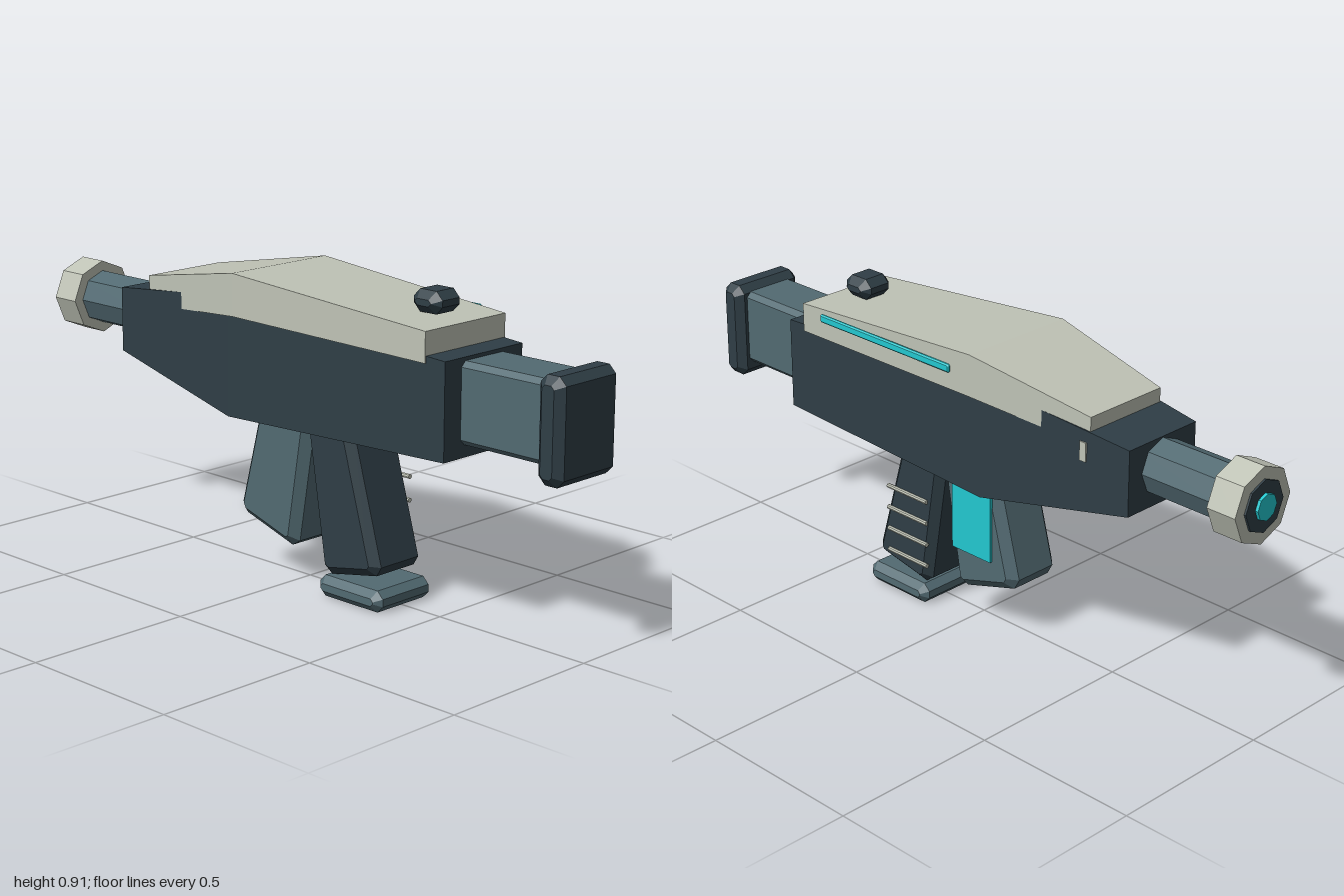
import * as THREE from 'three';

const material = (name, color) => {
  const m = new THREE.MeshStandardMaterial({ color });
  m.name = name;
  return m;
};

// Cut every corner of a [z, y] outline by distance b
function cutCorners(points, b) {
  const v = points.map(p => new THREE.Vector2(p[0], p[1]));
  const n = v.length;
  return v.flatMap((p, i) => [v[(i + n - 1) % n], v[(i + 1) % n]].map(q =>
    p.clone().add(q.clone().sub(p).setLength(b))));
}

// Chamfered prism: a [z, y] side outline given thickness 2 * half along x
function prism(points, half, b) {
  const depth = 2 * (half - b);
  const g = new THREE.ExtrudeGeometry(new THREE.Shape(cutCorners(points, b)), {
    depth, bevelEnabled: true, bevelSegments: 1,
    bevelSize: b, bevelThickness: b, bevelOffset: -b,
  });
  g.translate(0, 0, -depth / 2);
  g.rotateY(-Math.PI / 2);
  return g;
}

const block = (z0, z1, y0, y1, half, b) =>
  prism([[z0, y0], [z1, y0], [z1, y1], [z0, y1]], half, b);

// Flat-faced hull through rectangular sections [z, half width, bottom, top], z descending
function hull(sections) {
  const rings = sections.map(([z, h, y0, y1]) =>
    [[-h, y0, z], [h, y0, z], [h, y1, z], [-h, y1, z]]);
  const pos = [];
  const quad = (a, b, c, d) => pos.push(...a, ...b, ...c, ...a, ...c, ...d);
  quad(...rings[0]);
  for (let s = 0; s < rings.length - 1; s++) {
    for (let i = 0; i < 4; i++) {
      const j = (i + 1) % 4;
      quad(rings[s][i], rings[s + 1][i], rings[s + 1][j], rings[s][j]);
    }
  }
  quad(...[...rings[rings.length - 1]].reverse());
  const g = new THREE.BufferGeometry();
  g.setAttribute('position', new THREE.Float32BufferAttribute(pos, 3));
  g.computeVertexNormals();
  return g;
}

// Faceted cylinder along z
function rod(radius, z0, z1, y, x = 0) {
  const g = new THREE.CylinderGeometry(radius, radius, Math.abs(z1 - z0), 8).toNonIndexed();
  g.computeVertexNormals();
  g.rotateX(Math.PI / 2);
  g.translate(x, y, (z0 + z1) / 2);
  return g;
}

export function createModel() {
  const dark = material('dark slate', 0x2f3e46);
  const slate = material('blue grey', 0x526a72);
  const pale = material('pale grey', 0xbfc3b6);
  const cyan = material('cyan', 0x22c8d0);

  const model = new THREE.Group();
  model.name = 'blaster';
  const add = (name, geometry, mat) => {
    const mesh = new THREE.Mesh(geometry, mat);
    mesh.name = name;
    model.add(mesh);
    return mesh;
  };

  // Main body and the top shell over it
  add('body', hull([
    [0.645, 0.152, 0.495, 0.765],
    [-0.15, 0.172, 0.475, 0.82],
    [-0.65, 0.13, 0.575, 0.765],
  ]), dark);
  add('topShell', hull([
    [0.58, 0.157, 0.75, 0.835],
    [-0.12, 0.182, 0.768, 0.89],
    [-0.52, 0.136, 0.735, 0.82],
  ]), pale);
  add('sight', block(0.425, 0.527, 0.848, 0.91, 0.055, 0.022), dark);

  // Stock
  add('stockTube', block(0.6, 0.94, 0.53, 0.755, 0.088, 0.015), slate);
  add('stockPad', block(0.917, 1, 0.487, 0.775, 0.12, 0.022), dark);

  // Barrel and muzzle
  add('barrel', rod(0.08, -0.6, -0.92, 0.682), slate);
  add('muzzle', rod(0.11, -0.893, -0.985, 0.682), pale);
  add('muzzleBore', rod(0.075, -0.95, -0.991, 0.682), dark);
  add('muzzleLens', rod(0.038, -0.95, -1, 0.682), cyan);

  // Grip with its base plate
  add('grip', prism([[0.36, 0.1], [0.142, 0.058], [0.066, 0.53], [0.236, 0.53]], 0.098, 0.024), dark);
  add('gripBase', block(0.137, 0.377, 0, 0.062, 0.112, 0.02), slate);

  // Forward cell housing with its glowing panel
  add('cellHousing', prism([[0.026, 0.1], [-0.208, 0.172], [-0.11, 0.54], [0.1, 0.54]], 0.093, 0.026), slate);

  model.children.forEach(mesh => { mesh.position.x = -0.004; });

  // Details on the left side only
  const panel = (name, x, y, z, w, h, d, mat) =>
    add(name, new THREE.BoxGeometry(w, h, d), mat).position.set(x, y, z);
  panel('cellPanel', 0.0935, 0.335, -0.045, 0.0095, 0.2, 0.15, cyan);
  panel('bodyPort', 0.138, 0.72, -0.502, 0.009, 0.055, 0.022, pale);
  add('lightStrip', block(-0.045, 0.475, 0.815, 0.839, 0.006, 0.004), cyan).position.x = 0.177;
  for (let i = 0; i < 4; i++) {
    add('gripRib' + (i + 1), rod(0.007, 0.135, 0.295, 0.335 - i * 0.0685, 0.097), pale);
  }
  return model;
}
